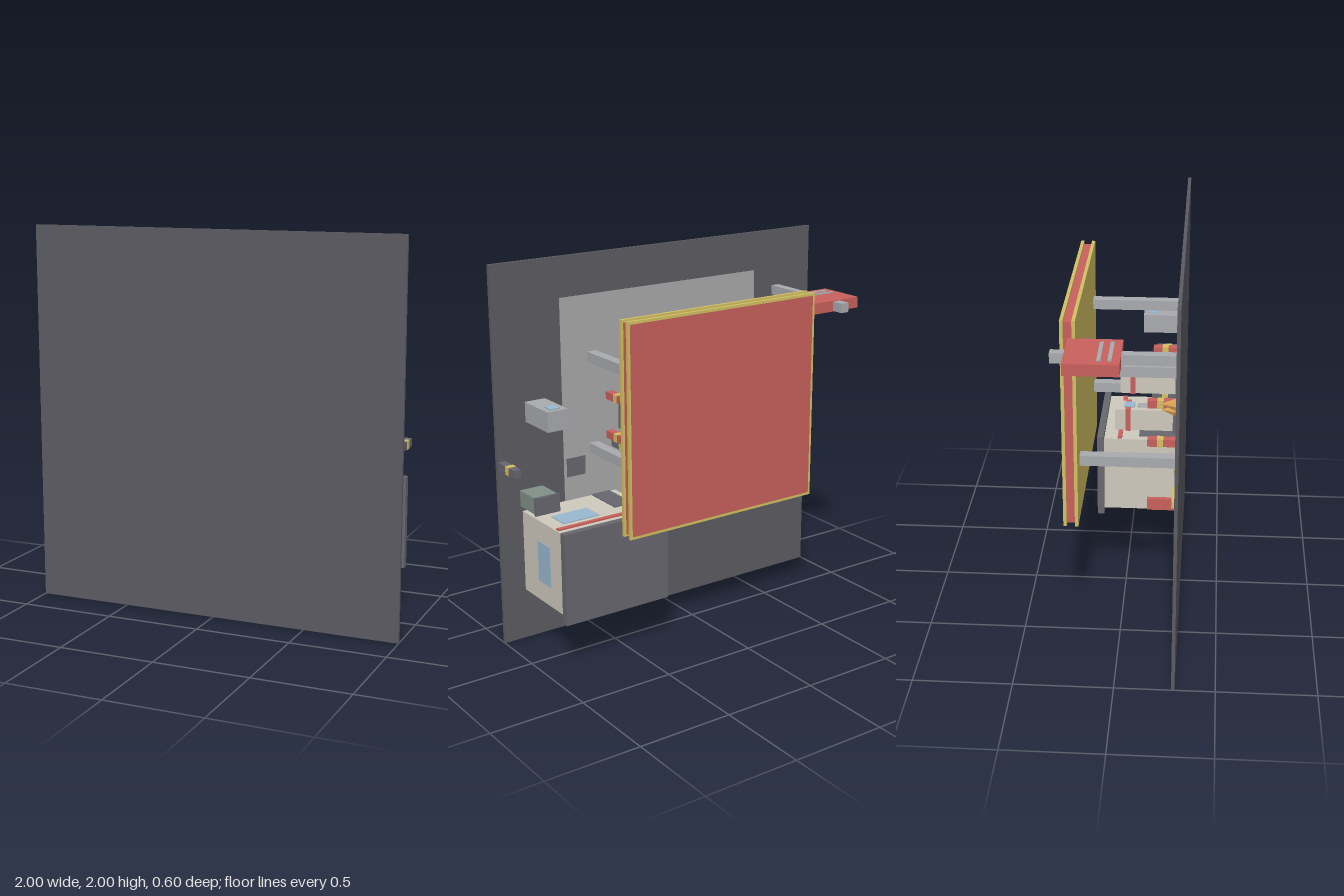
import * as THREE from 'three';

const COLORS = {
  asphalt: 0x5c5b62, concrete: 0xa8a9aa, wall: 0xcfc9bd, steel: 0xa9aaaf, red: 0xc8605c,
  yellow: 0xd2c062, glass: 0x9ab8d0, green: 0x7f9188, dark: 0x67676e, orange: 0xdda050,
};
const mats = {};
for (const k in COLORS) mats[k] = new THREE.MeshStandardMaterial({ color: COLORS[k], flatShading: true });

export function createModel() {
  const model = new THREE.Group();
  model.name = 'fuelStation';
  // The station is built upright (y = height above the lot, z = towards its front), then tipped back
  const station = new THREE.Group();
  station.name = 'station';
  station.rotation.x = -Math.PI / 2;
  station.position.set(0, 0, 0.283);
  model.add(station);

  // Box from its limits: x, height and depth ranges
  function box(name, color, [x0, x1], [h0, h1], [d0, d1], parent = station) {
    const m = new THREE.Mesh(new THREE.BoxGeometry(x1 - x0, h1 - h0, d1 - d0), mats[color]);
    m.position.set((x0 + x1) / 2, (h0 + h1) / 2, (d0 + d1) / 2);
    m.name = name;
    parent.add(m);
    return m;
  }
  function group(name, x = 0, d = 0) {
    const g = new THREE.Group();
    g.name = name;
    g.position.set(x, 0, d);
    station.add(g);
    return g;
  }

  // Lot and paved apron
  box('lot', 'asphalt', [-1, 1], [-0.017, 0], [0, 2]);
  box('apron', 'concrete', [-0.615, 0.615], [-0.005, 0.003], [0.41, 1.79]);
  box('drainCover', 'dark', [0.49, 0.6], [0, 0.008], [0.84, 0.94]);

  // Canopy: red slab between two yellow rims, on four columns
  const canopy = group('canopy', -0.003, 1.215);
  box('canopySlab', 'red', [-0.562, 0.562], [0.487, 0.5615], [-0.538, 0.538], canopy);
  for (const h of [0.486, 0.544])
    box('canopyTrim', 'yellow', [-0.575, 0.575], [h, h + 0.017], [-0.552, 0.552], canopy);
  for (const x of [-0.437, 0.437])
    for (const d of [-0.24, 0.25])
      box('canopyColumn', 'steel', [x - 0.027, x + 0.027], [0, 0.487], [d - 0.027, d + 0.027], canopy);

  // Shop building
  const shop = group('shop');
  box('shopWalls', 'wall', [0.307, 0.866], [0, 0.425], [0.273, 0.71], shop);
  box('shopRoof', 'dark', [0.282, 0.891], [0.425, 0.462], [0.247, 0.732], shop);
  box('shopStripe', 'red', [0.315, 0.858], [0.326, 0.35], [0.7, 0.718], shop);
  box('shopWindow', 'glass', [0.58, 0.79], [0.16, 0.283], [0.7, 0.715], shop);
  box('shopSideWindow', 'glass', [0.86, 0.87], [0.153, 0.273], [0.38, 0.6], shop);
  box('shopDoor', 'dark', [0.345, 0.455], [0, 0.233], [0.7, 0.715], shop);
  box('wallCabinet', 'red', [0.283, 0.31], [0, 0.183], [0.28, 0.35], shop);

  // Fuel pumps and wheel stops, one per side
  for (const s of [-1, 1]) {
    const pump = group('fuelPump', s * 0.22 - 0.003, 1.116);
    box('pumpBase', 'dark', [-0.061, 0.061], [0, 0.031], [-0.066, 0.066], pump);
    box('pumpBody', 'wall', [-0.054, 0.054], [0.031, 0.323], [-0.056, 0.056], pump);
    box('pumpBand', 'red', [-0.059, 0.059], [0.243, 0.27], [-0.059, 0.059], pump);
    box('pumpScreen', 'glass', [-0.027, 0.027], [0.223, 0.278], [0.05, 0.064], pump);
    box('pumpKeypad', 'steel', [-0.023, 0.023], [0.131, 0.211], [0.05, 0.06], pump);
    const x = s * 0.185 - 0.005;
    box('wheelStop', 'yellow', [x - 0.085, x + 0.085], [0, 0.032], [0.61, 0.65]);
  }

  // Bollards with yellow bands
  function bollard(x, d, color, h) {
    const g = group('bollard', x, d);
    box('bollardPost', color, [-0.02, 0.02], [0, h], [-0.02, 0.02], g);
    box('bollardBand', 'yellow', [-0.022, 0.022], [0.075, 0.107], [-0.022, 0.022], g);
  }
  for (const x of [-0.34, 0.334]) for (const d of [1.03, 1.243]) bollard(x, d, 'red', 0.155);
  for (const x of [0.303, 0.973]) bollard(x, 0.978, 'dark', 0.16);

  // Ice chest and waste bin
  const chest = group('iceChest');
  box('chestBody', 'steel', [0.714, 0.83], [0, 0.228], [1.183, 1.287], chest);
  box('chestWindow', 'glass', [0.745, 0.8], [0.147, 0.204], [1.28, 1.293], chest);
  const bin = group('wasteBin');
  box('binBody', 'green', [0.745, 0.877], [0, 0.155], [0.739, 0.825], bin);
  box('binLid', 'dark', [0.74, 0.882], [0.153, 0.167], [0.734, 0.83], bin);

  // Roadside sign
  const sign = group('roadSign', -0.765, 1.667);
  box('signPole', 'steel', [-0.024, 0.024], [0, 0.586], [-0.025, 0.025], sign);
  box('signBoard', 'red', [-0.149, 0.149], [0.256, 0.518], [-0.029, 0.029], sign);
  for (const h of [0.294, 0.344])
    box('signStripe', 'steel', [-0.109, 0.109], [h, h + 0.019], [0.02, 0.034], sign);

  // Traffic cones
  for (const [x, d] of [[-0.69, 1.405], [-0.565, 1.315]]) {
    const cone = new THREE.Mesh(new THREE.ConeGeometry(0.034, 0.08, 8), mats.orange);
    cone.position.set(x, 0.04, d);
    cone.name = 'trafficCone';
    station.add(cone);
  }
  return model;
}
